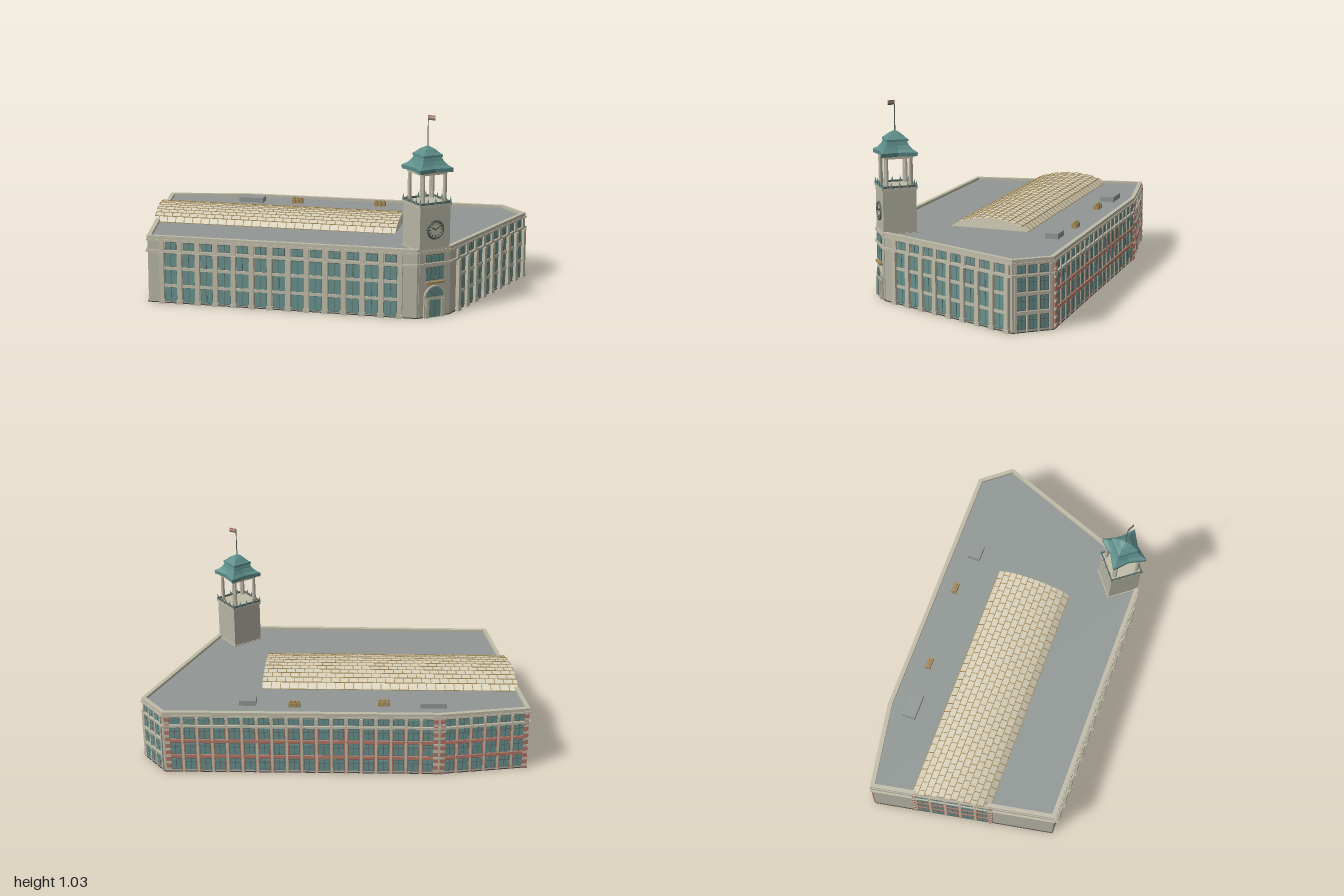
import * as THREE from 'three';

const mat = (name, color, side = THREE.FrontSide) => Object.assign(new THREE.MeshStandardMaterial({ color, side }), { name });
const M = {
  wall: mat('stone wall', 0xb6b4a4),
  trim: mat('pale stone trim', 0xc0bba8),
  glass: mat('teal glass', 0x67918d),
  roof: mat('grey roof', 0x919795),
  copper: mat('green copper', 0x5c8c88),
  brick: mat('red brick', 0xb37564),
  dark: mat('dark base', 0x444444),
  frame: mat('window frame', 0x5b645e),
  tile: mat('cream tile', 0xd6d0ba, THREE.DoubleSide),
  tan: mat('tan metal', 0xa68b58),
};
const unitBox = new THREE.BoxGeometry(1, 1, 1);

function add(parent, name, geo, material, x = 0, y = 0, z = 0) {
  const m = new THREE.Mesh(geo, material);
  m.name = name;
  m.position.set(x, y, z);
  parent.add(m);
  return m;
}
function box(parent, name, material, w, h, d, x, y, z) {
  const m = add(parent, name, unitBox, material, x, y, z);
  m.scale.set(w, h, d);
  return m;
}
function group(parent, name) {
  const g = new THREE.Group();
  g.name = name;
  parent.add(g);
  return g;
}

// Footprint corners [x, z], walked with the outside on the right
const A = [-0.985, 0.08], G = [-0.37, 0.885], F = [0.9, 0.24], E = [0.983, 0.065],
  D = [0.9, -0.805], C = [0.71, -0.89], B = [-0.6, -0.21];
const plan = [A, G, F, E, D, C, B];

// Move every wall line outward by d and intersect neighbours
function offset(d) {
  const n = plan.length;
  const edges = plan.map((p, i) => {
    const q = plan[(i + 1) % n], l = Math.hypot(q[0] - p[0], q[1] - p[1]);
    const u = [(q[0] - p[0]) / l, (q[1] - p[1]) / l];
    return { p: [p[0] - u[1] * d, p[1] + u[0] * d], u };
  });
  return edges.map((e, i) => {
    const f = edges[(i + n - 1) % n];
    const k = ((e.p[0] - f.p[0]) * e.u[1] - (e.p[1] - f.p[1]) * e.u[0]) / (f.u[0] * e.u[1] - f.u[1] * e.u[0]);
    return new THREE.Vector2(f.p[0] + f.u[0] * k, -(f.p[1] + f.u[1] * k));
  });
}
function slab(parent, name, material, out, y0, y1, inner) {
  const s = new THREE.Shape(offset(out));
  if (inner !== undefined) s.holes.push(new THREE.Path(offset(inner)));
  const g = new THREE.ExtrudeGeometry(s, { depth: y1 - y0, bevelEnabled: false });
  g.rotateX(-Math.PI / 2);
  add(parent, name, g, material, 0, y0, 0);
}

function pane(g, w, y0, y1, x) {
  const y = (y0 + y1) / 2, h = y1 - y0;
  box(g, 'windowFrame', M.frame, w + 0.006, h + 0.006, 0.004, x, y, 0.001);
  box(g, 'windowGlass', M.glass, w, h, 0.004, x, y, 0.003);
  box(g, 'mullion', M.frame, 0.003, h, 0.004, x, y, 0.004);
}

// Window bays along the wall P-Q, between fractions f0 and f1
function facade(root, name, P, Q, f0, f1, bays, style) {
  const g = group(root, name), dx = Q[0] - P[0], dz = Q[1] - P[1], L = Math.hypot(dx, dz);
  g.position.set(P[0], 0, P[1]);
  g.rotation.y = Math.atan2(-dz, dx);
  const w = (f1 - f0) * L / bays, mid = (f0 + f1) / 2 * L, len = (f1 - f0) * L;
  for (let i = 0; i <= bays; i++) {
    const x = f0 * L + i * w;
    if (style === 'grand') {
      box(g, 'pilaster', M.trim, w * 0.26, 0.275, 0.03, x, 0.1375, 0.004);
      box(g, 'pilasterFoot', M.trim, w * 0.34, 0.02, 0.034, x, 0.01, 0.004);
      box(g, 'atticPier', M.trim, w * 0.26, 0.05, 0.016, x, 0.311, 0.002);
    } else {
      box(g, 'pier', M.trim, w * 0.16, 0.33, 0.014, x, 0.165, 0.001);
      if (style === 'brick') box(g, 'brickPier', M.brick, w * 0.28, 0.27, 0.01, x, 0.135, 0.001);
    }
    if (i === bays) break;
    const c = x + w / 2;
    if (style === 'grand') {
      pane(g, w * 0.64, 0.012, 0.086, c);
      pane(g, w * 0.64, 0.104, 0.18, c);
      pane(g, w * 0.64, 0.2, 0.266, c);
      pane(g, w * 0.56, 0.294, 0.328, c);
    } else {
      for (const y of [0.018, 0.112, 0.205]) {
        pane(g, w * 0.66, y, y + 0.064, c);
        box(g, 'transom', M.frame, w * 0.66, 0.003, 0.004, c, y + 0.044, 0.004);
      }
      pane(g, w * 0.66, 0.294, 0.328, c);
    }
  }
  for (const y of [0.097, 0.19]) {
    box(g, 'spandrelBand', style === 'brick' ? M.brick : M.trim, len, 0.016, 0.012, mid, y, 0.002);
  }
  // Brick edge strips with stone quoins
  if (style === 'brick') for (const x of [f0 * L, f1 * L]) {
    box(g, 'brickEdge', M.brick, 0.026, 0.33, 0.015, x, 0.165, 0.001);
    for (let k = 0; k < 8; k++) box(g, 'quoin', M.trim, 0.026, 0.014, 0.018, x, 0.02 + k * 0.04, 0.001);
  }
}

// Point on the vaulted roof: s along, t across from back to front
function vault(s, t, lift = 0) {
  const mix = (a, b, k) => a + (b - a) * k;
  const x = mix(mix(-0.85, 0.4, s), mix(-0.595, 0.59, s), t);
  const z = mix(mix(0.26, -0.385, s), mix(0.61, 0, s), t);
  return new THREE.Vector3(x, 0.347 + 0.058 * Math.pow(Math.max(0, Math.sin(Math.PI * t)), 0.6) + lift, z);
}
// Quad strips between rows of points, flat shaded
function sheet(rows) {
  const p = [];
  for (let i = 0; i + 1 < rows.length; i++) for (let j = 0; j + 1 < rows[i].length; j++) {
    const a = rows[i][j], b = rows[i][j + 1], c = rows[i + 1][j], d = rows[i + 1][j + 1];
    for (const v of [a, b, c, c, b, d]) p.push(v.x, v.y, v.z);
  }
  const g = new THREE.BufferGeometry();
  g.setAttribute('position', new THREE.Float32BufferAttribute(p, 3));
  g.computeVertexNormals();
  return g;
}
function beam(parent, name, a, b, w, material) {
  const m = box(parent, name, material, w, w, a.distanceTo(b), 0, 0, 0);
  m.position.copy(a).add(b).multiplyScalar(0.5);
  m.lookAt(b);
}

function buildVault(root) {
  const g = group(root, 'vaultedRoof'), N = 12, cols = 28;
  const ts = Array.from({ length: N + 1 }, (_, j) => j / N);
  add(g, 'vaultTiles', sheet([0, 1].map(s => ts.map(t => vault(s, t)))), M.tile);
  for (const s of [0, 1]) {
    add(g, 'vaultEnd', sheet([ts.map(t => vault(s, t)), ts.map(t => vault(s, t).setY(0.34))]), M.tile);
  }
  ts.forEach((t, j) => {
    beam(g, 'longSeam', vault(0, t), vault(1, t), 0.004, M.tan);
    if (j === N) return;
    for (let i = 0; i < cols; i++) {
      const s = (i + (j % 2 ? 0.5 : 0.02)) / cols;
      beam(g, 'crossSeam', vault(s, t), vault(s, ts[j + 1]), 0.004, M.tan);
    }
  });
}

function buildTower(root) {
  const g = group(root, 'clockTower');
  g.position.set(0.866, 0, 0.115);
  g.rotation.y = Math.atan2(F[1] - E[1], E[0] - F[0]);
  const W = 0.175, H = W / 2;
  box(g, 'towerShaft', M.wall, W, 0.575, W, 0, 0.2925, 0);
  box(g, 'shaftBand', M.trim, W + 0.01, 0.012, W + 0.01, 0, 0.345, 0);
  box(g, 'shaftCornice', M.trim, W + 0.01, 0.014, W + 0.01, 0, 0.581, 0);

  // Entrance: door, arched window, balcony and upper windows
  const e = group(g, 'entrance');
  e.position.z = H + 0.004;
  box(e, 'portal', M.trim, 0.122, 0.105, 0.012, 0, 0.0525, 0);
  add(e, 'archSurround', new THREE.CylinderGeometry(0.061, 0.061, 0.012, 24, 1, false, Math.PI / 2, Math.PI), M.trim, 0, 0.105, 0).rotation.x = Math.PI / 2;
  const arch = add(e, 'archWindow', new THREE.CircleGeometry(0.05, 24, 0, Math.PI), M.glass, 0, 0.11, 0.008);
  arch.scale.y = 1.05;
  for (const a of [0.25, 0.5, 0.75]) {
    const bar = box(e, 'archBar', M.frame, 0.048, 0.003, 0.002, Math.cos(a * Math.PI) * 0.025, 0.11 + Math.sin(a * Math.PI) * 0.025, 0.009);
    bar.rotation.z = a * Math.PI;
  }
  box(e, 'door', M.glass, 0.066, 0.092, 0.004, 0, 0.048, 0.007);
  box(e, 'doorMullion', M.frame, 0.003, 0.092, 0.004, 0, 0.048, 0.008);
  for (const x of [-0.045, 0.045]) box(e, 'doorPost', M.trim, 0.016, 0.1, 0.014, x, 0.05, 0.006);
  box(e, 'balcony', M.tan, 0.1, 0.01, 0.018, 0, 0.184, 0.004);
  for (const x of [-0.025, 0.025]) {
    pane(e, 0.046, 0.2, 0.262, x);
    pane(e, 0.046, 0.296, 0.328, x);
  }

  // Clock on the outer face
  const c = group(g, 'clock');
  c.position.set(0, 0.458, H + 0.002);
  add(c, 'clockFace', new THREE.CircleGeometry(0.042, 32), M.trim, 0, 0, 0.002);
  add(c, 'clockRing', new THREE.TorusGeometry(0.044, 0.007, 8, 32), M.frame);
  for (let i = 0; i < 12; i++) {
    const a = i * Math.PI / 6;
    box(c, 'hourMark', M.dark, 0.009, 0.004, 0.002, Math.cos(a) * 0.033, Math.sin(a) * 0.033, 0.003).rotation.z = a;
  }
  box(c, 'hourHand', M.dark, 0.024, 0.005, 0.002, -0.01, 0.006, 0.004).rotation.z = 2.6;
  box(c, 'minuteHand', M.dark, 0.034, 0.004, 0.002, 0.013, 0.008, 0.004).rotation.z = 0.55;

  // Open belfry: railing with finials and paired columns
  const finial = new THREE.ConeGeometry(0.008, 0.034, 6), column = new THREE.CylinderGeometry(0.008, 0.01, 0.16, 12);
  for (let k = 0; k < 4; k++) {
    const s = group(g, 'belfrySide');
    s.rotation.y = k * Math.PI / 2;
    box(s, 'rail', M.frame, W, 0.01, 0.006, 0, 0.593, H);
    for (let i = -2; i < 2; i++) add(s, 'railFinial', finial, M.copper, i * H / 2, 0.603, H);
    for (const x of [-0.062, 0.062]) add(s, 'column', column, M.trim, x, 0.668, 0.068);
    box(s, 'belfryLintel', M.trim, 0.15, 0.014, 0.016, 0, 0.742, 0.066);
  }
  box(g, 'belfryCeiling', M.dark, 0.13, 0.008, 0.13, 0, 0.742, 0);

  // Swept roof with pointed corners and hollow sides, then a small cupola
  const ring = ([y, corner, side]) => Array.from({ length: 9 }, (_, i) => {
    const r = i % 2 ? corner : side, a = -i * Math.PI / 4;
    return new THREE.Vector3(Math.cos(a) * r, y, Math.sin(a) * r);
  });
  const roof = [[0.748, 0, 0], [0.748, 0.134, 0.078], [0.768, 0.136, 0.079], [0.782, 0.106, 0.066], [0.802, 0.084, 0.056], [0.822, 0.072, 0.05],
    [0.822, 0.08, 0.056], [0.832, 0.08, 0.056], [0.842, 0.062, 0.046], [0.858, 0.04, 0.03], [0.872, 0.008, 0.006], [0.88, 0, 0]];
  add(g, 'towerRoof', sheet(roof.map(ring).reverse().map(r => r.reverse())), M.copper);
  add(g, 'flagPole', new THREE.CylinderGeometry(0.002, 0.003, 0.16, 6), M.frame, 0, 0.95, 0);
  const flag = group(root, 'flag');
  [M.brick, M.trim, M.brick, M.frame].forEach((m, i) => box(flag, 'flagStripe', m, 0.04, 0.006, 0.003, 0.889, 1.027 - i * 0.006, 0.115));
}

export function createModel() {
  const root = new THREE.Group();
  root.name = 'clockTowerBuilding';

  // Body, cornices, parapet and flat roof
  slab(root, 'basePlate', M.dark, 0.004, 0, 0.004);
  slab(root, 'walls', M.wall, 0, 0.004, 0.34);
  slab(root, 'lowerCornice', M.trim, 0.01, 0.274, 0.286, -0.01);
  slab(root, 'upperCornice', M.trim, 0.008, 0.334, 0.344, -0.01);
  slab(root, 'parapet', M.trim, 0.004, 0.344, 0.362, -0.018);
  slab(root, 'roofDeck', M.roof, -0.016, 0.339, 0.347);

  facade(root, 'frontFacade', G, F, 0.055, 0.94, 13, 'grand');
  facade(root, 'leftFacade', E, D, 0.09, 0.97, 8, 'grand');
  facade(root, 'cornerFacade', D, C, 0.08, 0.92, 3, 'plain');
  facade(root, 'backFacade', C, B, 0.015, 0.985, 18, 'brick');
  facade(root, 'backRightFacade', B, A, 0.03, 0.97, 6, 'brick');
  facade(root, 'endFacade', A, G, 0.235, 0.65, 5, 'brick');

  buildVault(root);
  buildTower(root);

  // Rooftop hatches and vent units
  const turn = Math.atan2(G[1] - F[1], F[0] - G[0]);
  for (const [x, z, w, d] of [[-0.51, -0.11, 0.14, 0.075], [0.38, -0.56, 0.09, 0.07]]) {
    box(root, 'roofHatch', M.roof, w, 0.03, d, x, 0.36, z).rotation.y = turn;
  }
  for (const [x, z] of [[-0.275, -0.235], [0.14, -0.475]]) {
    const v = group(root, 'ventUnit');
    v.position.set(x, 0.347, z);
    v.rotation.y = turn;
    for (const k of [-1, 0, 1]) {
      box(v, 'ventBox', M.tan, 0.019, 0.024, 0.028, k * 0.022, 0.012, 0);
      add(v, 'ventCap', new THREE.CylinderGeometry(0.008, 0.008, 0.008, 10), M.tan, k * 0.022, 0.028, 0);
    }
  }
  return root;
}
